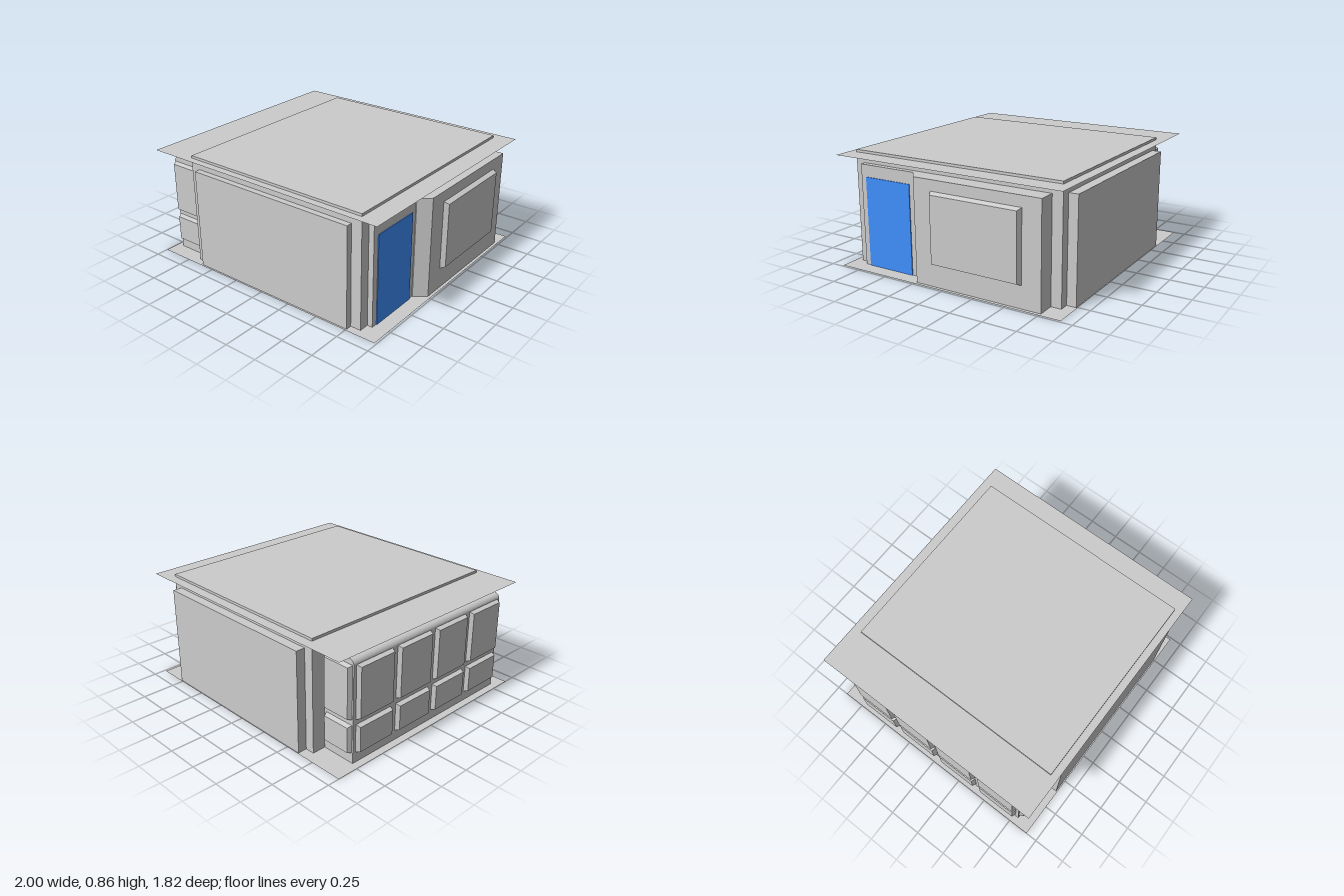
import * as THREE from 'three';

const material = (color) => new THREE.MeshStandardMaterial({ color, flatShading: true });
const wallMat = material(0xcccccc);
const glassMat = material(0xf0f0f0);
const doorMat = material(0x4090ff);
const slabMat = material(0xcccccc);
slabMat.side = THREE.DoubleSide;

const BASE = 0.003; // walls start just above the ground sheet

export function createModel() {
  const model = new THREE.Group();
  model.name = 'building';

  const add = (name, geometry, mat = wallMat, parent = model) => {
    const mesh = new THREE.Mesh(geometry, mat);
    mesh.name = name;
    parent.add(mesh);
    return mesh;
  };

  // Box given by its lower and upper limits on each axis
  const block = (name, [x0, x1], [y0, y1], [z0, z1], mat) =>
    add(name, new THREE.BoxGeometry(x1 - x0, y1 - y0, z1 - z0), mat)
      .position.set((x0 + x1) / 2, (y0 + y1) / 2, (z0 + z1) / 2);

  // Thin horizontal sheet
  const sheet = (name, y) => {
    const mesh = add(name, new THREE.PlaneGeometry(1.985, 1.82).rotateX(-Math.PI / 2), slabMat);
    mesh.position.set(-0.0075, y, 0);
  };

  // Window with bevelled sides and a light pane; turn rotates it away from +z
  const windowUnit = (name, width, height, depth, bevel, position, turn) => {
    const group = new THREE.Group();
    group.name = name;
    const frame = new THREE.BoxGeometry(width, height, depth).translate(0, 0, depth / 2);
    const p = frame.attributes.position;
    for (let i = 0; i < p.count; i++) {
      if (p.getZ(i) > depth / 2) {
        p.setX(i, p.getX(i) * (1 - 2 * bevel / width));
        p.setY(i, p.getY(i) * (1 - 2 * bevel / height));
      }
    }
    frame.computeVertexNormals();
    add('windowFrame', frame, wallMat, group);
    add('windowPane', new THREE.PlaneGeometry(width - 2 * bevel, height - 2 * bevel), glassMat, group)
      .position.z = depth + 0.001;
    group.position.set(...position);
    group.rotation.y = turn;
    model.add(group);
  };

  // Ground and roof overhang
  sheet('groundSheet', 0);
  sheet('roofSheet', 0.836);

  // Main block rises slightly through the roof sheet
  block('mainBlock', [-0.68, 0.835], [BASE, 0.855], [-0.835, 0.855]);

  // Raised wall panels
  block('frontPanel', [-0.605, 0.755], [BASE, 0.765], [0.85, 0.9]);
  block('backPanel', [-0.61, 0.765], [BASE, 0.765], [-0.905, -0.83]);
  block('doorWall', [0.83, 0.875], [BASE, 0.765], [-0.757, 0.78]);

  // Door
  block('door', [0.87, 0.881], [BASE, 0.675], [0.345, 0.735], doorMat);

  // Side bay with a slanted front end, extruded upward from its plan
  const plan = new THREE.Shape([
    [0.86, 0.757], [0.965, 0.757], [0.965, -0.237], [0.88, -0.305], [0.86, -0.305],
  ].map(([x, y]) => new THREE.Vector2(x, y)));
  add('sideBay', new THREE.ExtrudeGeometry(plan, { depth: 0.765 - BASE, bevelEnabled: false })
    .rotateX(-Math.PI / 2)).position.y = BASE;
  windowUnit('bayWindow', 0.71, 0.52, 0.035, 0.016, [0.965, 0.425, -0.26], Math.PI / 2);

  // Glazed wing with a rounded upper outside edge
  const section = new THREE.Shape();
  section.moveTo(-0.67, BASE);
  section.lineTo(-0.67, 0.765);
  section.lineTo(-0.905, 0.765);
  section.absarc(-0.905, 0.725, 0.04, Math.PI / 2, Math.PI, false);
  section.lineTo(-0.945, BASE);
  add('glazedWing', new THREE.ExtrudeGeometry(section, { depth: 1.52, bevelEnabled: false, curveSegments: 5 }))
    .position.z = -0.73;

  // Two rows of windows around the wing
  for (const [row, y, height] of [['upper', 0.528, 0.395], ['lower', 0.185, 0.21]]) {
    for (let i = 0; i < 4; i++) {
      windowUnit(row + 'SideWindow', 0.33, height, 0.032, 0.012, [-0.945, y, -0.54 + 0.38 * i], -Math.PI / 2);
    }
    windowUnit(row + 'FrontWindow', 0.235, height, 0.032, 0.012, [-0.817, y, 0.79], 0);
    windowUnit(row + 'BackWindow', 0.235, height, 0.032, 0.012, [-0.817, y, -0.73], Math.PI);
  }

  return model;
}
